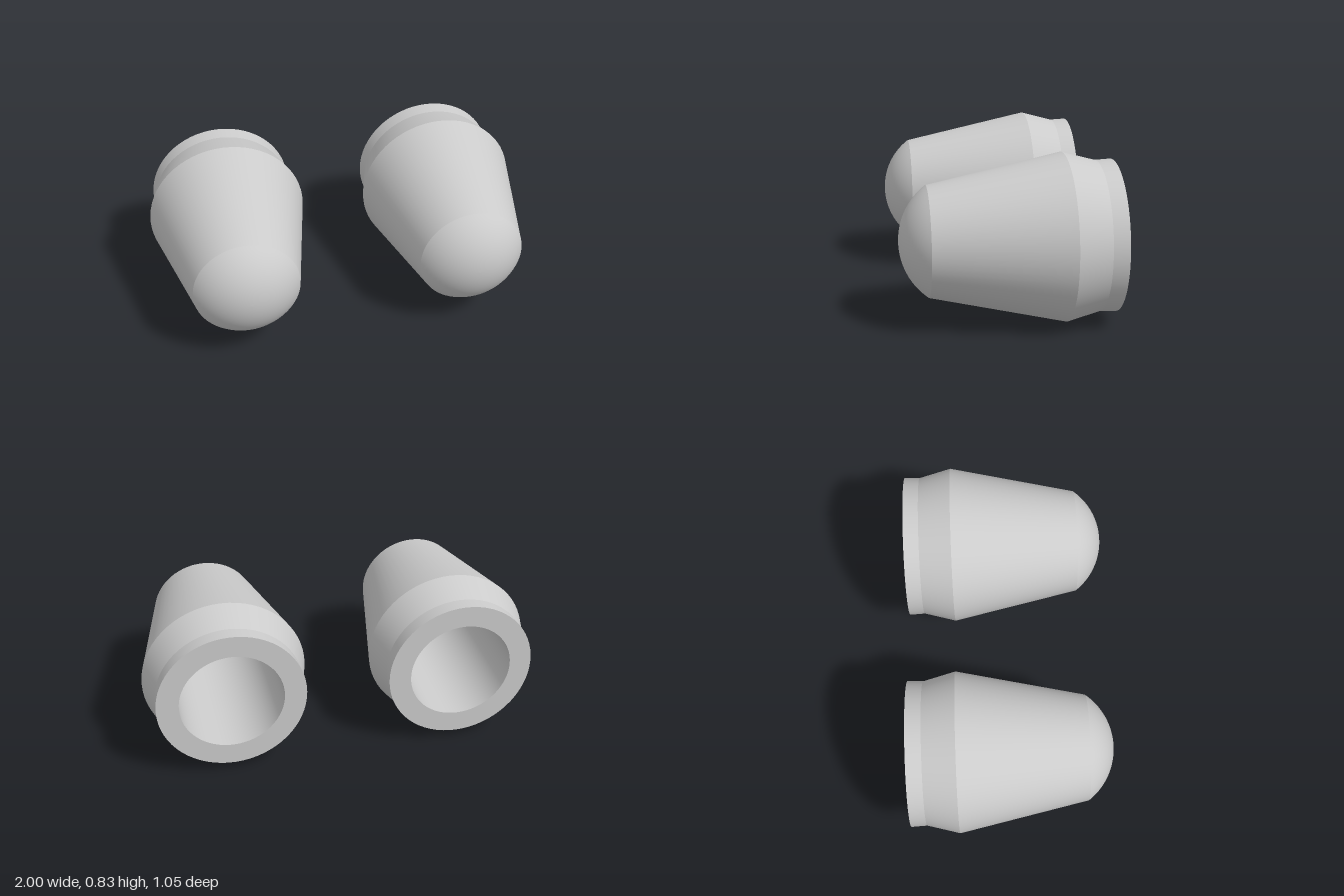
import * as THREE from 'three';

const SEGMENTS = 64;
const material = new THREE.MeshStandardMaterial({ color: 0xcccccc });

// Surface of revolution around z from [radius, z] points
function turned(name, points) {
  const profile = points.map(([r, z]) => new THREE.Vector2(r, z));
  const geometry = new THREE.LatheGeometry(profile, SEGMENTS);
  geometry.rotateX(Math.PI / 2);
  const mesh = new THREE.Mesh(geometry, material);
  mesh.name = name;
  return mesh;
}

function createCappedSleeve() {
  const sleeve = new THREE.Group();

  // Each band is its own surface, so the edges between them stay sharp
  const bands = [
    ['boreFloor', [0, 0.38], [0.262, 0.38]],
    ['boreWall', [0.262, 0.38], [0.262, -0.525]],
    ['rearRim', [0.262, -0.525], [0.374, -0.525]],
    ['rearCollar', [0.374, -0.525], [0.37, -0.445]],
    ['shoulder', [0.37, -0.445], [0.415, -0.277]],
    ['taperedBody', [0.415, -0.277], [0.272, 0.387]],
  ];
  for (const [name, a, b] of bands) sleeve.add(turned(name, [a, b]));

  // Domed nose: a spherical cap
  const rim = 0.272, height = 0.138;
  const radius = (rim * rim + height * height) / (2 * height);
  const start = Math.asin(rim / radius);
  const cap = [];
  for (let i = 0; i <= 16; i++) {
    const angle = start * (1 - i / 16);
    cap.push([radius * Math.sin(angle), 0.525 - radius + radius * Math.cos(angle)]);
  }
  sleeve.add(turned('domedNose', cap));
  return sleeve;
}

export function createModel() {
  const model = new THREE.Group();
  for (const side of [-1, 1]) {
    const sleeve = createCappedSleeve();
    sleeve.name = side > 0 ? 'leftSleeve' : 'rightSleeve';
    sleeve.position.set(side * 0.585, 0.415, 0);
    model.add(sleeve);
  }
  return model;
}
